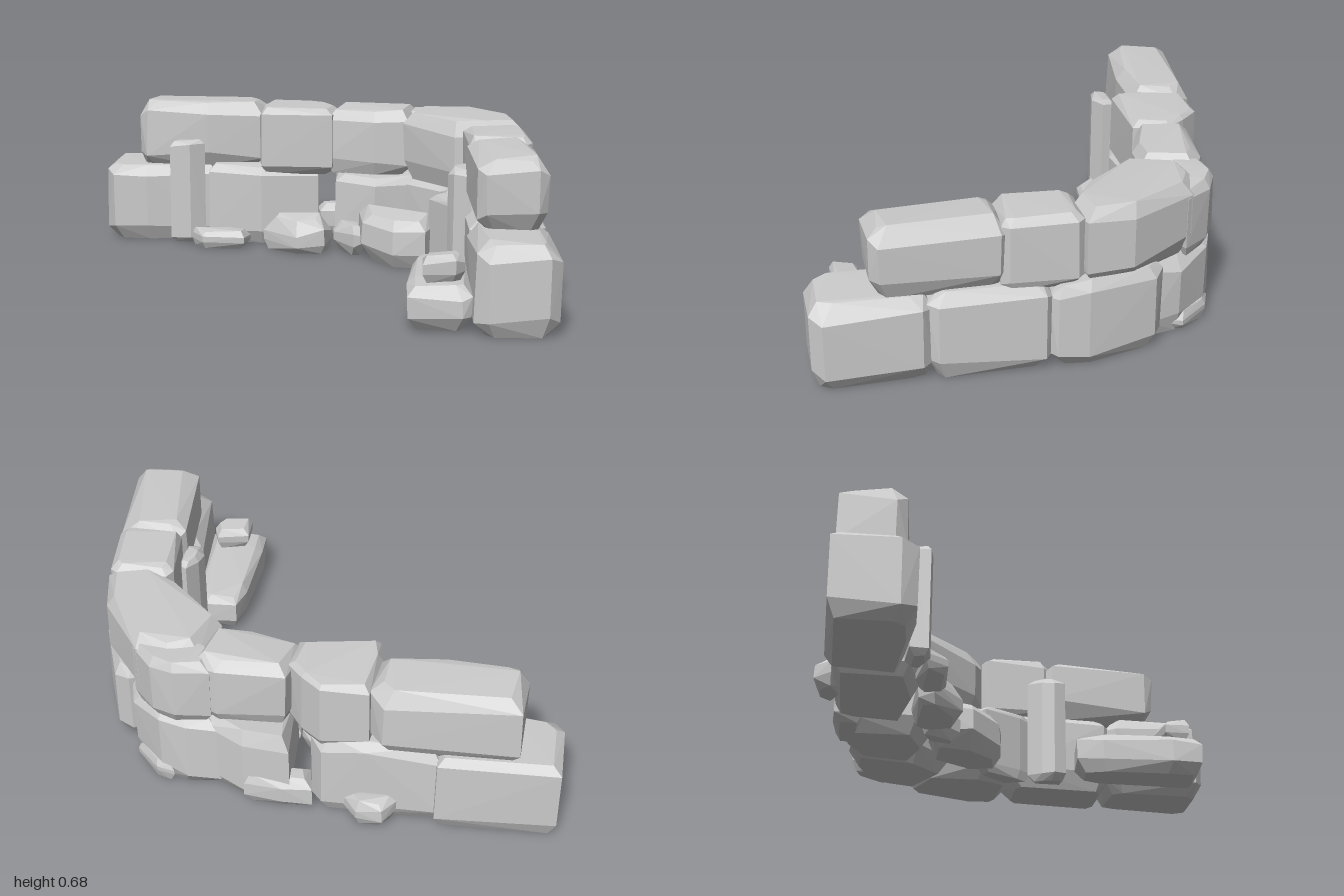
import * as THREE from 'three';
import { ConvexGeometry } from 'three/addons/geometries/ConvexGeometry.js';

// Small seeded generator so each stone is chipped the same way every time
let seed = 7;
const rand = () => {
  seed = (seed * 16807) % 2147483647;
  return seed / 2147483647;
};

const material = new THREE.MeshStandardMaterial({ color: 0xcccccc, flatShading: true });

// Faceted stone: a plan outline [x, z] stacked in rings, bevelled at bottom and top
function stone(name, outline, y0, y1, bevel = 0.05, bottomBevel = bevel) {
  const xs = outline.map(p => p[0]), zs = outline.map(p => p[1]);
  const x0 = Math.min(...xs), x1 = Math.max(...xs);
  const z0 = Math.min(...zs), z1 = Math.max(...zs);
  const cx = (x0 + x1) / 2, cz = (z0 + z1) / 2;
  const rings = [
    [y0, bottomBevel, 0],
    [y0 + bottomBevel * 1.5, 0, 0.4],
    [y1 - bevel * 1.3, 0, 0.4],
    [y1, bevel, -0.5],
  ];
  const points = [];
  for (const [y, inset, wobble] of rings) {
    for (const [x, z] of outline) {
      const cut = inset * (0.7 + 0.5 * rand()) + 0.2 * bevel * rand();
      const sx = 1 - Math.min(0.6, cut / ((x1 - x0) / 2));
      const sz = 1 - Math.min(0.6, cut / ((z1 - z0) / 2));
      const dy = wobble < 0 ? wobble * bevel * rand() : wobble * bevel * (rand() - 0.5) * 2;
      points.push(new THREE.Vector3(cx + (x - cx) * sx, y + dy, cz + (z - cz) * sz));
    }
  }
  const mesh = new THREE.Mesh(new ConvexGeometry(points), material);
  mesh.name = name;
  return mesh;
}

// Rectangular outline with clipped corners
function block(x0, x1, z0, z1, c = 0.04) {
  return [
    [x0 + c, z0], [x1 - c, z0], [x1, z0 + c], [x1, z1 - c],
    [x1 - c, z1], [x0 + c, z1], [x0, z1 - c], [x0, z0 + c],
  ];
}

export function createModel() {
  seed = 7;
  const model = new THREE.Group();
  model.name = 'curvedStoneWall';
  const group = (name, stones) => {
    const g = new THREE.Group();
    g.name = name;
    stones.forEach(s => g.add(stone(...s)));
    model.add(g);
  };

  // Large foundation stones, from the left-hand end round to the front end
  group('lowerCourse', [
    ['lowerStone1', [[-0.97, -0.98], [-0.47, -0.95], [-0.45, -0.63], [-0.8, -0.61], [-0.96, -0.63], [-1, -0.7]], 0.01, 0.39, 0.04],
    ['lowerStone2', [[-0.5, -0.93], [-0.18, -0.89], [0.0, -0.87], [0.04, -0.8], [0.04, -0.57], [-0.24, -0.53], [-0.5, -0.6]], 0.01, 0.4, 0.04],
    ['lowerStone3', [[0.12, -0.86], [0.32, -0.83], [0.5, -0.72], [0.52, -0.46], [0.3, -0.4], [0.11, -0.5]], 0.01, 0.38, 0.05],
    ['lowerStone4', [[0.42, -0.76], [0.56, -0.76], [0.68, -0.71], [0.81, -0.56], [0.84, -0.42], [0.6, -0.28], [0.45, -0.45]], 0.01, 0.38, 0.05],
    ['lowerStone5', [[0.84, -0.47], [0.91, -0.43], [0.99, -0.13], [0.99, 0], [0.95, 0.03], [0.68, 0.02], [0.6, -0.12], [0.64, -0.38]], 0.01, 0.39, 0.04],
    ['lowerStone6', block(0.66, 0.99, 0.0, 0.52), 0.01, 0.4, 0.05],
    ['lowerStone7', block(0.64, 0.99, 0.48, 0.98, 0.05), 0.01, 0.4, 0.05],
  ]);

  // Second course, set back from both ends
  group('upperCourse', [
    ['upperStone1', [[-0.8, -0.95], [-0.25, -0.91], [-0.19, -0.83], [-0.23, -0.63], [-0.5, -0.62], [-0.8, -0.66], [-0.84, -0.71]], 0.36, 0.69, 0.05],
    ['upperStone2', [[-0.2, -0.86], [0.0, -0.86], [0.08, -0.78], [0.14, -0.69], [0.1, -0.54], [-0.24, -0.53], [-0.25, -0.63]], 0.35, 0.68, 0.03],
    ['upperStone3', [[0.14, -0.77], [0.43, -0.75], [0.53, -0.69], [0.46, -0.47], [0.3, -0.48], [0.07, -0.56]], 0.36, 0.68, 0.04],
    ['upperStone4', [[0.5, -0.64], [0.62, -0.67], [0.77, -0.61], [0.94, -0.32], [0.96, -0.12], [0.81, -0.08], [0.65, -0.16], [0.43, -0.43]], 0.36, 0.69, 0.05],
    ['upperStone5', block(0.68, 0.96, -0.12, 0.22, 0.03), 0.36, 0.68, 0.03],
    ['upperStone6', block(0.66, 0.96, 0.18, 0.74), 0.37, 0.69, 0.05],
    ['upperBackStone', [[0.45, -0.74], [0.6, -0.75], [0.7, -0.7], [0.79, -0.58], [0.6, -0.5], [0.45, -0.6]], 0.35, 0.66, 0.03],
  ]);

  // Fallen and leaning stones inside the curve
  group('innerRubble', [
    ['standingStoneLeft', [[-0.66, -0.63], [-0.52, -0.63], [-0.51, -0.57], [-0.58, -0.53], [-0.68, -0.55]], 0.02, 0.52, 0.02],
    ['standingStoneRight', [[0.61, 0.16], [0.66, 0.1], [0.7, 0.12], [0.69, 0.28], [0.61, 0.28], [0.59, 0.22]], 0.02, 0.55, 0.025],
    ['wedgeStone', [[0.53, -0.13], [0.6, -0.16], [0.72, 0.0], [0.68, 0.12], [0.63, 0.06]], 0.02, 0.36, 0.03],
    ['lowFlatStone', [[-0.58, -0.55], [-0.38, -0.57], [-0.29, -0.54], [-0.32, -0.43], [-0.52, -0.45]], 0.01, 0.1, 0.025],
    ['middleStone', [[-0.21, -0.54], [0.07, -0.54], [0.11, -0.47], [0.07, -0.33], [-0.07, -0.32], [-0.23, -0.47]], 0.01, 0.19, 0.06, 0.03],
    ['smallWedge', [[0.1, -0.5], [0.24, -0.45], [0.27, -0.3], [0.2, -0.29], [0.1, -0.42]], 0.01, 0.16, 0.04],
    ['cornerStone', [[0.22, -0.43], [0.44, -0.41], [0.58, -0.18], [0.52, -0.05], [0.37, -0.08], [0.23, -0.23]], 0.01, 0.25, 0.05],
    ['fallenSlab', [[0.47, 0.3], [0.62, 0.32], [0.66, 0.4], [0.64, 0.9], [0.6, 0.92], [0.38, 0.89], [0.38, 0.75], [0.43, 0.42]], 0.02, 0.21, 0.035],
    ['slabPebble', [[0.45, 0.73], [0.6, 0.71], [0.62, 0.79], [0.58, 0.84], [0.44, 0.85]], 0.2, 0.32, 0.025],
  ]);

  // Small stones along the outer foot of the wall
  group('outerRubble', [
    ['backPebble', [[-0.32, -0.91], [-0.26, -0.98], [-0.15, -0.96], [-0.1, -0.89], [-0.2, -0.83]], 0.02, 0.15, 0.03],
    ['backGapStone', [[0.03, -0.87], [0.16, -0.87], [0.32, -0.84], [0.31, -0.74], [0.04, -0.74]], 0.01, 0.17, 0.03],
    ['sidePebble', [[0.62, -0.74], [0.7, -0.71], [0.8, -0.58], [0.79, -0.5], [0.64, -0.6]], 0.01, 0.1, 0.025],
  ]);

  return model;
}
